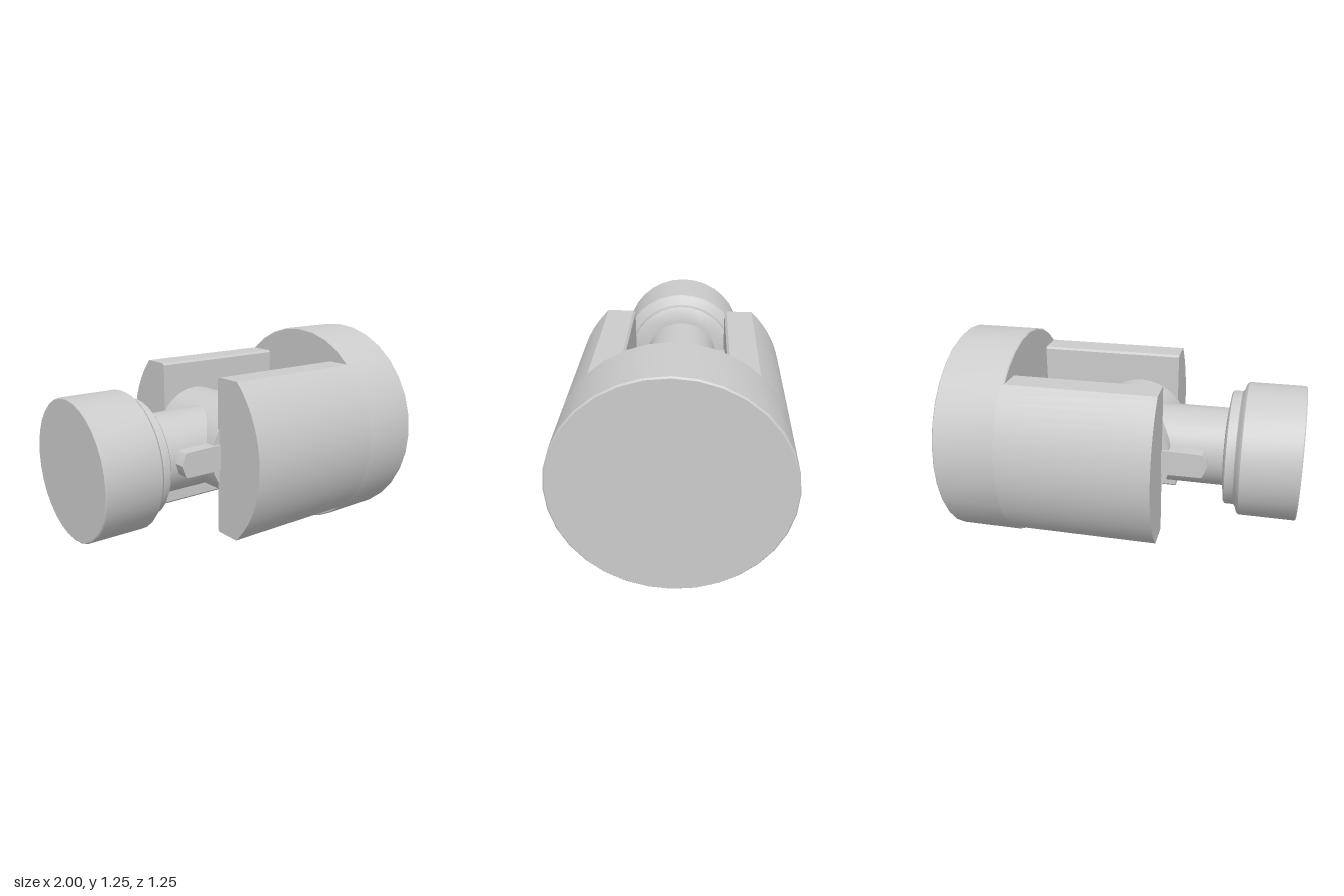
import * as THREE from 'three';
import { toCreasedNormals } from 'three/addons/utils/BufferGeometryUtils.js';

const AXIS_Y = 0.626; // height of the shared long axis
const R = 0.624; // outer radius of the fork

export function createModel() {
  const model = new THREE.Group();
  const joint = new THREE.Group();
  joint.name = 'swivelJoint';
  joint.position.y = AXIS_Y;
  model.add(joint);
  const material = new THREE.MeshStandardMaterial({ color: 0xcccccc });

  function add(name, geometry, parent = joint) {
    const mesh = new THREE.Mesh(toCreasedNormals(geometry, 0.6), material);
    mesh.name = name;
    parent.add(mesh);
    return mesh;
  }

  // Solid of revolution about x; the profile is [radius, x] with x rising
  function turned(name, profile, parent) {
    const points = profile.map(([r, x]) => new THREE.Vector2(r, x));
    return add(name, new THREE.LatheGeometry(points, 32).rotateZ(-Math.PI / 2), parent);
  }

  // Fork: round base with two flat-topped arms
  const fork = new THREE.Group();
  fork.name = 'fork';
  joint.add(fork);
  turned('forkBase', [[0, 0.62], [R - 0.006, 0.62], [R, 0.626], [R, 0.992], [R - 0.008, 1], [0, 1]], fork);

  const halfHeight = 0.45, inner = 0.27, c = 0.012;
  const angle = Math.asin((halfHeight - c) / R);
  const section = new THREE.Shape();
  section.moveTo(inner, halfHeight - c);
  section.lineTo(inner, -halfHeight + c);
  section.lineTo(inner + c, -halfHeight);
  section.lineTo(R * Math.cos(angle) - c, -halfHeight);
  section.absarc(0, 0, R, -angle, angle, false);
  section.lineTo(R * Math.cos(angle) - c, halfHeight);
  section.lineTo(inner + c, halfHeight);
  section.closePath();
  for (const side of [1, -1]) {
    const geometry = new THREE.ExtrudeGeometry(section, { depth: 0.87, bevelEnabled: false, curveSegments: 10 });
    geometry.rotateY(Math.PI / 2).translate(-0.23, 0, 0);
    if (side > 0) geometry.rotateX(Math.PI);
    add(side > 0 ? 'frontArm' : 'backArm', geometry, fork);
  }

  // Knuckle held between the arms
  add('knuckle', new THREE.CylinderGeometry(0.28, 0.28, 0.56, 32).rotateX(Math.PI / 2));

  // Stem with stepped collar and head
  turned('stem', [[0, -0.6], [0.23, -0.6], [0.23, 0], [0, 0]]);
  turned('head', [
    [0, -1], [0.384, -1], [0.39, -0.994], [0.39, -0.675], [0.38, -0.662], [0.345, -0.65],
    [0.334, -0.64], [0.334, -0.59], [0.325, -0.582], [0.235, -0.57], [0, -0.57],
  ]);

  // Cross key with a pointed nose, showing on both sides of the stem
  const key = new THREE.Shape();
  key.moveTo(-0.49, 0);
  key.lineTo(-0.465, -0.065);
  key.lineTo(-0.455, -0.072);
  key.lineTo(-0.05, -0.075);
  key.lineTo(-0.05, 0.075);
  key.lineTo(-0.23, 0.074);
  key.lineTo(-0.455, 0.069);
  key.lineTo(-0.465, 0.062);
  key.closePath();
  add('key', new THREE.ExtrudeGeometry(key, { depth: 0.59, bevelEnabled: false }).translate(0, 0, -0.295));

  return model;
}
